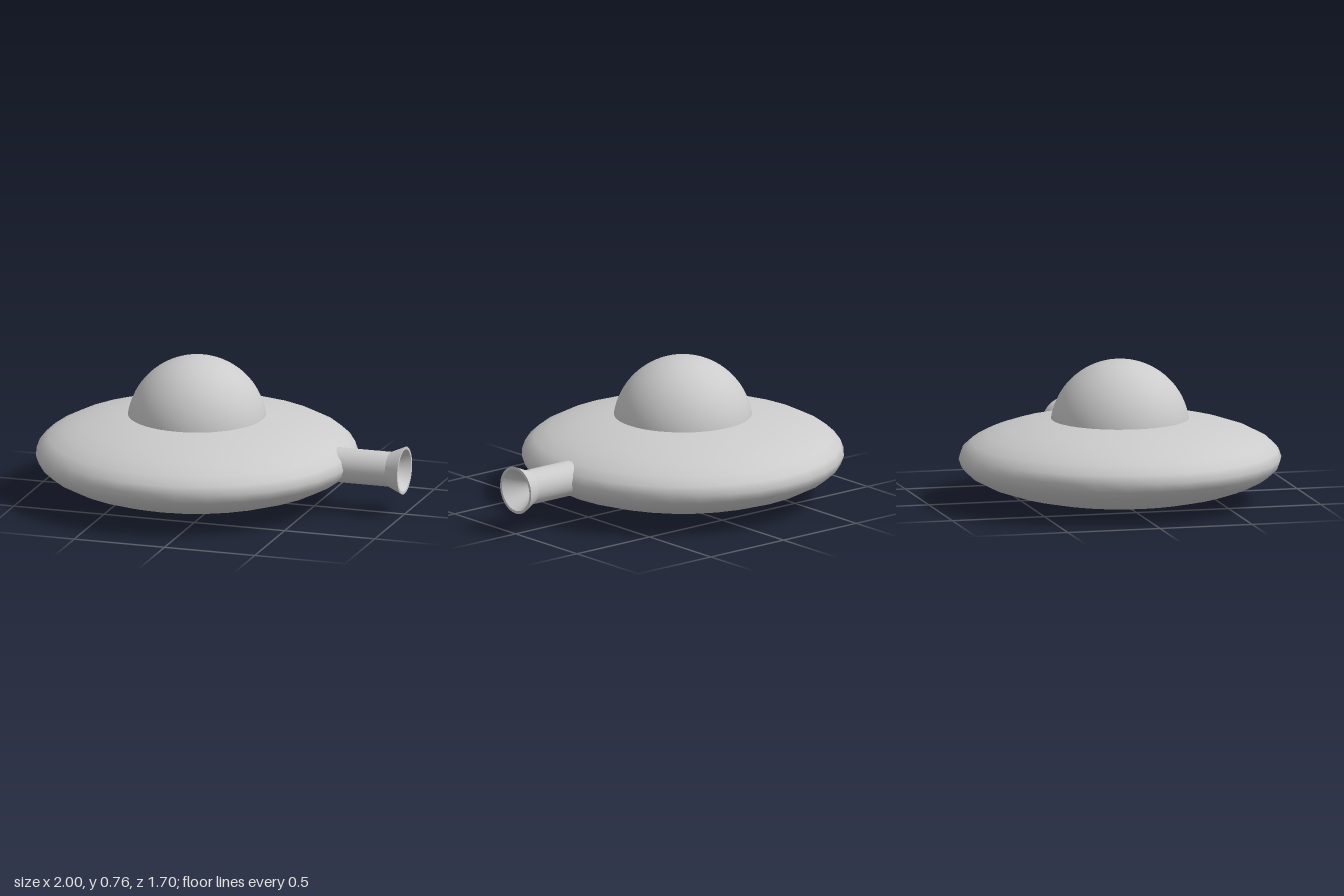
import * as THREE from 'three';

export function createModel() {
  const group = new THREE.Group();
  const material = new THREE.MeshStandardMaterial({ color: 0xcccccc });
  const add = (name, geometry, x, y) => {
    const mesh = new THREE.Mesh(geometry, material);
    mesh.name = name;
    mesh.position.set(x, y, 0);
    group.add(mesh);
    return mesh;
  };

  // Flattened saucer hull
  const hull = new THREE.SphereGeometry(0.85, 32, 16);
  hull.scale(1, 0.235 / 0.85, 1);
  add('hull', hull, -0.15, 0.237);

  // Cockpit dome, its lower edge sunk into the hull
  add('dome', new THREE.SphereGeometry(0.368, 48, 24, 0, Math.PI * 2, 0, Math.PI * 0.6), -0.15, 0.392);

  // Side nozzle as [radius, x] runs; separate runs keep the edges sharp
  const nozzle = new THREE.Group();
  nozzle.name = 'nozzle';
  nozzle.position.y = 0.24;
  nozzle.rotation.z = -Math.PI / 2;
  group.add(nozzle);
  const runs = {
    nozzleTube: [[0.092, 0.5], [0.092, 0.92]],
    nozzleFlare: [[0.092, 0.92], [0.127, 1]],
    nozzleRim: [[0.127, 1], [0.112, 1]],
    nozzleBore: [[0.112, 1], [0, 0.8]],
  };
  for (const [name, run] of Object.entries(runs)) {
    const points = run.map(([r, x]) => new THREE.Vector2(r, x));
    nozzle.add(add(name, new THREE.LatheGeometry(points, 40), 0, 0));
  }
  return group;
}
